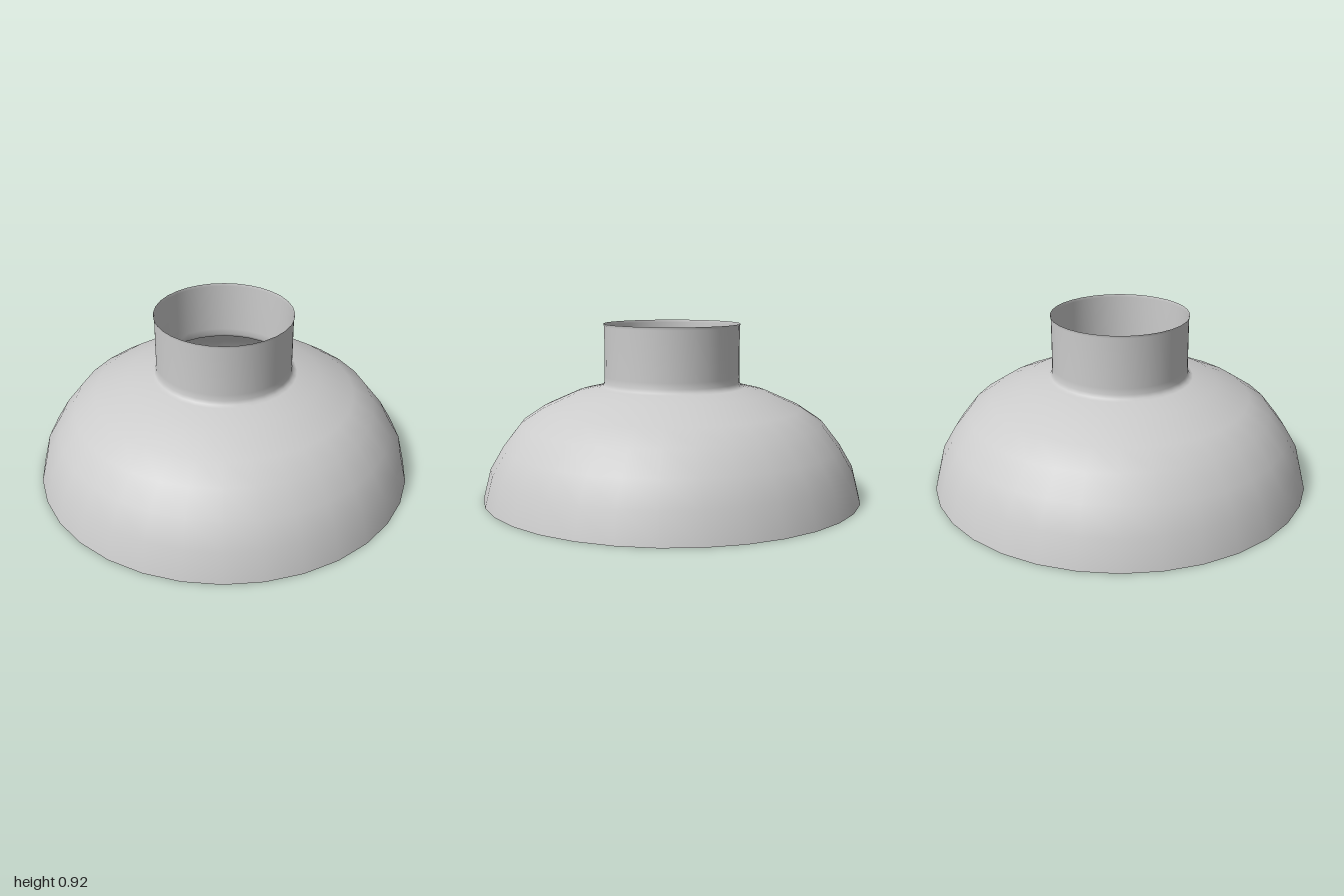
import * as THREE from 'three';

export function createModel() {
  const group = new THREE.Group();
  const material = new THREE.MeshStandardMaterial({ color: 0xcccccc, side: THREE.DoubleSide });

  // Thin open shell turned around y, from [radius, height] pairs
  const addShell = (name, profile) => {
    const points = profile.map(([r, y]) => new THREE.Vector2(r, y));
    const mesh = new THREE.Mesh(new THREE.LatheGeometry(points, 32), material);
    mesh.name = name;
    group.add(mesh);
  };

  // Domed shade curving into a straight collar with a fine lip
  addShell('domedShadeWithCollar', [
    [1, 0], [0.96, 0.16], [0.89, 0.28], [0.797, 0.4], [0.685, 0.475],
    [0.51, 0.553], [0.385, 0.582], [0.367, 0.59], [0.358, 0.608],
    [0.357, 0.64], [0.357, 0.9], [0.361, 0.915],
  ]);

  return group;
}
